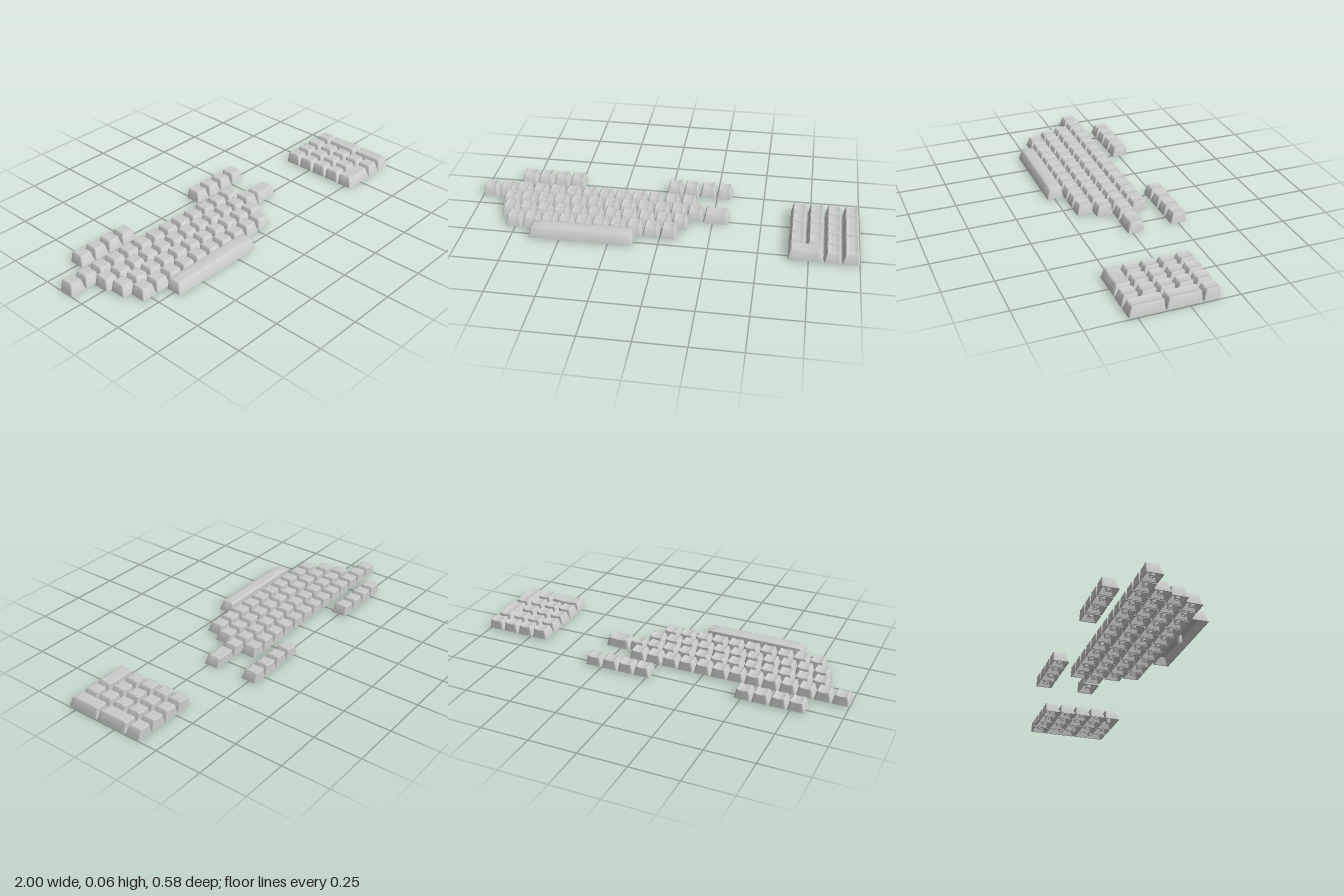
import * as THREE from 'three';
import { toCreasedNormals } from 'three/addons/utils/BufferGeometryUtils.js';

const UNIT = 0.0891, GAP = 0.005;  // key pitch and the gap between keys
const HEIGHT = 0.054, BASE = 0.006, WALL = 0.006;
const ROW_Z = [-0.25, -0.109, -0.0195, 0.0705, 0.16, 0.25];

// Rounded rectangle in the xz plane, counter-clockwise from above, with subdivided edges
function roundedLoop(x0, x1, z0, z1, r) {
  const corners = [[x1 - r, z0 + r], [x0 + r, z0 + r], [x0 + r, z1 - r], [x1 - r, z1 - r]];
  const arcs = corners.map(([cx, cz], i) => [0, 1, 2, 3].map((k) => {
    const a = (i + k / 3) * Math.PI / 2;
    return new THREE.Vector2(cx + r * Math.cos(a), cz - r * Math.sin(a));
  }));
  const points = [];
  arcs.forEach((arc, i) => {
    points.push(...arc);
    const next = arcs[(i + 1) % 4][0];
    for (let k = 1; k < 6; k++) points.push(arc[3].clone().lerp(next, k / 6));
  });
  return points;
}

// Hollow cap: rings run from the inner ceiling, down, round the rim, up and over the top
function capGeometry(w, d, convex) {
  const hx = w / 2, hz = d / 2;
  const taper = (t, inset, r) => roundedLoop(
    -hx + 0.011 * t + inset, hx - 0.011 * t - inset,
    -hz + 0.001 * t + inset, hz - 0.016 * t - inset, r);
  const topZ = -0.0075, topHx = hx - 0.014, topHz = hz - 0.0115;
  const surfaceY = (x, z) => convex
    ? HEIGHT + 0.002 - 0.002 * Math.min(1, ((z - topZ) / topHz) ** 2)
    : HEIGHT - 0.005 * (1 - Math.min(1, (x / topHx) ** 2));
  const flat = (loop, y) => loop.map((p) => [p.x, y, p.y]);
  const domed = (loop, drop, k = 1) => loop.map((p) => {
    const x = p.x * k, z = topZ + (p.y - topZ) * k;
    return [x, surfaceY(x, z) - drop, z];
  });

  const ceiling = taper(0.8, WALL, 0.004);
  const top = taper(1, 0.003, 0.006);
  const rings = [
    ceiling.map(() => [0, 0.043, topZ]),
    flat(ceiling, 0.043),
    flat(taper(0, WALL, 0.003), 0),
    flat(taper(0, 0, 0.005), 0),
    domed(taper(0.95, 0, 0.007), 0.003),
    ...[1, 0.8, 0.6, 0.4, 0.2, 0].map((k) => domed(top, 0, k)),
  ];

  const n = ceiling.length, index = [];
  for (let i = 0; i < rings.length - 1; i++) {
    for (let j = 0; j < n; j++) {
      const a = i * n + j, b = i * n + (j + 1) % n;
      if (i < rings.length - 2) index.push(a, b, b + n, a, b + n, a + n);
      else index.push(a, b, a + n);
    }
  }
  const geometry = new THREE.BufferGeometry();
  geometry.setAttribute('position', new THREE.Float32BufferAttribute(rings.flat(2), 3));
  geometry.setIndex(index);
  return toCreasedNormals(geometry, 0.7);
}

// Round switch socket with a cross-shaped hole
function stemGeometry() {
  const shape = new THREE.Shape().absarc(0, 0, 0.013, 0, Math.PI * 2);
  const a = 0.009, b = 0.003;
  shape.holes.push(new THREE.Path([
    [a, b], [a, -b], [b, -b], [b, -a], [-b, -a], [-b, -b],
    [-a, -b], [-a, b], [-b, b], [-b, a], [b, a], [b, b],
  ].map(([x, y]) => new THREE.Vector2(x, y))));
  const geometry = new THREE.ExtrudeGeometry(shape, { depth: 0.039, bevelEnabled: false, curveSegments: 8 });
  geometry.rotateX(-Math.PI / 2);
  return geometry.translate(0, 0.005, 0);
}

export function createModel() {
  const model = new THREE.Group();
  model.name = 'keycapSet';
  const material = new THREE.MeshStandardMaterial({ color: 0xcccccc });
  const stem = stemGeometry();
  const caps = {};

  // One keycap: left edge and width in units, first row and number of rows covered
  function addKey(parent, name, u, row, width = 1, rows = 1, drop = 0) {
    const convex = name === 'spaceBar';
    const id = `${width} ${rows} ${convex}`;
    caps[id] ??= capGeometry(width * UNIT - GAP, rows * 0.0894 - GAP, convex);
    const key = new THREE.Group();
    key.name = name;
    const cap = new THREE.Mesh(caps[id], material);
    cap.name = 'cap';
    const socket = new THREE.Mesh(stem, material);
    socket.name = 'stem';
    key.add(cap, socket);
    const z = (ROW_Z[row] + ROW_Z[row + rows - 1]) / 2;
    key.position.set(-1 + (u + width / 2) * UNIT - GAP / 2, BASE - drop, z);
    parent.add(key);
  }

  function addRow(name, u, row, count) {
    const group = new THREE.Group();
    group.name = name;
    for (let i = 0; i < count; i++) addKey(group, 'key', u + i, row);
    model.add(group);
    return group;
  }

  // Main block
  addRow('functionKeysLeft', 2, 0, 4);
  addRow('functionKeysRight', 11, 0, 4);
  addRow('numberRow', 0, 1, 13);
  const upper = addRow('upperLetterRow', 1.5, 2, 12);
  addKey(upper, 'wideKey', 13.5, 2, 1.5, 1, BASE);
  addRow('homeLetterRow', 1.75, 3, 11);
  addRow('lowerLetterRow', 2.25, 4, 10);
  addKey(model, 'spaceBar', 3.875, 5, 6);

  // Number pad
  const pad = addRow('numberPad', 18.5, 1, 4);
  for (let row = 2; row <= 4; row++) {
    for (let i = 0; i < 3; i++) addKey(pad, 'key', 18.5 + i, row);
  }
  addKey(pad, 'wideKey', 18.5, 5, 2);
  addKey(pad, 'key', 20.5, 5);
  addKey(pad, 'tallKeyUpper', 21.5, 2, 1, 2);
  addKey(pad, 'tallKeyLower', 21.5, 4, 1, 2);

  return model;
}
